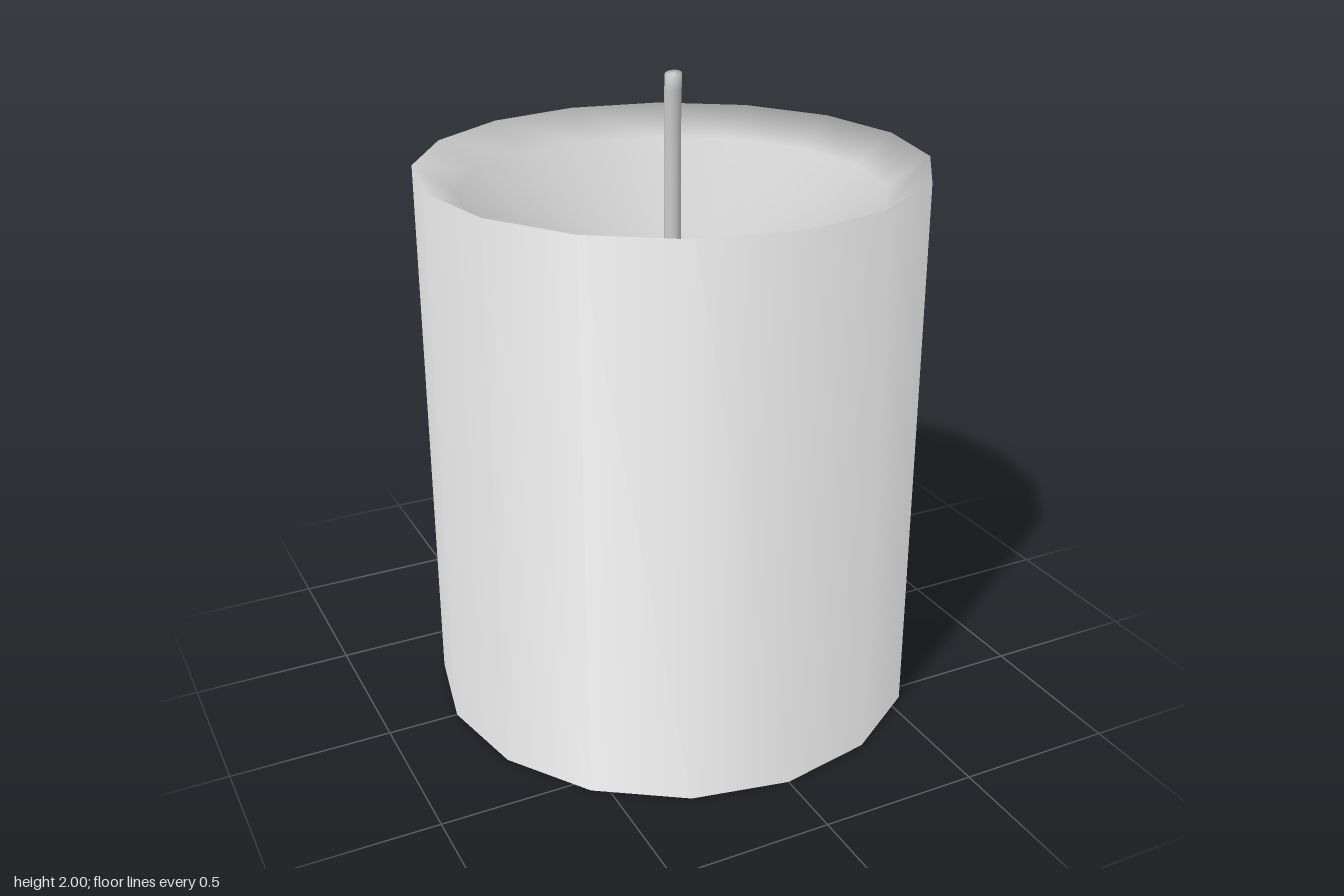
import * as THREE from 'three';
import { mergeVertices } from 'three/addons/utils/BufferGeometryUtils.js';

const R = 0.777, H = 1.731, SIDES = 16;
const material = new THREE.MeshStandardMaterial({ color: 0xcccccc, side: THREE.DoubleSide });

// Revolve a list of [radius, height] points into a named part
function revolve(name, profile) {
  const points = profile.map(([r, y]) => new THREE.Vector2(r, y));
  const mesh = new THREE.Mesh(new THREE.LatheGeometry(points, SIDES), material);
  mesh.name = name;
  return mesh;
}

// Tilt the normals on the outer radius halfway up, so wall and hollow shade softly into each other
function softenRim(mesh) {
  const { position: p, normal: n } = mesh.geometry.attributes;
  const v = new THREE.Vector3();
  for (let i = 0; i < p.count; i++) {
    v.set(p.getX(i), 0, p.getZ(i));
    if (v.length() < R - 0.01) continue;
    v.setY(R).normalize();
    n.setXYZ(i, v.x, v.y, v.z);
  }
  return mesh;
}

// Thin round cord that bends gently towards its tip
function makeWick() {
  const bottom = 1.34, top = 1.995, length = top - bottom;
  let geometry = new THREE.CylinderGeometry(0.026, 0.026, length, 10, 14);
  geometry.translate(0, bottom + length / 2, 0);
  const p = geometry.attributes.position;
  for (let i = 0; i < p.count; i++) {
    const x = p.getX(i), y = p.getY(i), z = p.getZ(i);
    const t = Math.max(0, (y - H) / (top - H));
    p.setXYZ(i, x - 0.005 * t * t, y + t ** 4 * (x - z) * 0.15, z - 0.008 + 0.016 * t * t);
  }
  // Weld the caps to the side for a soft, rounded look
  geometry.deleteAttribute('uv');
  geometry.deleteAttribute('normal');
  geometry = mergeVertices(geometry);
  geometry.computeVertexNormals();
  const mesh = new THREE.Mesh(geometry, material);
  mesh.name = 'wick';
  return mesh;
}

export function createModel() {
  const candle = new THREE.Group();
  candle.name = 'candle';
  candle.add(
    revolve('base', [[0, 0], [R, 0]]),
    softenRim(revolve('outerWall', [[R, 0], [R, H]])),
    // Shallow melted hollow, steepest just inside the rim
    softenRim(revolve('meltedHollow', [
      [R, H], [0.65, 1.642], [0.5, 1.55], [0.3, 1.443], [0.1, 1.368], [0, 1.355],
    ])),
    makeWick(),
  );
  return candle;
}
